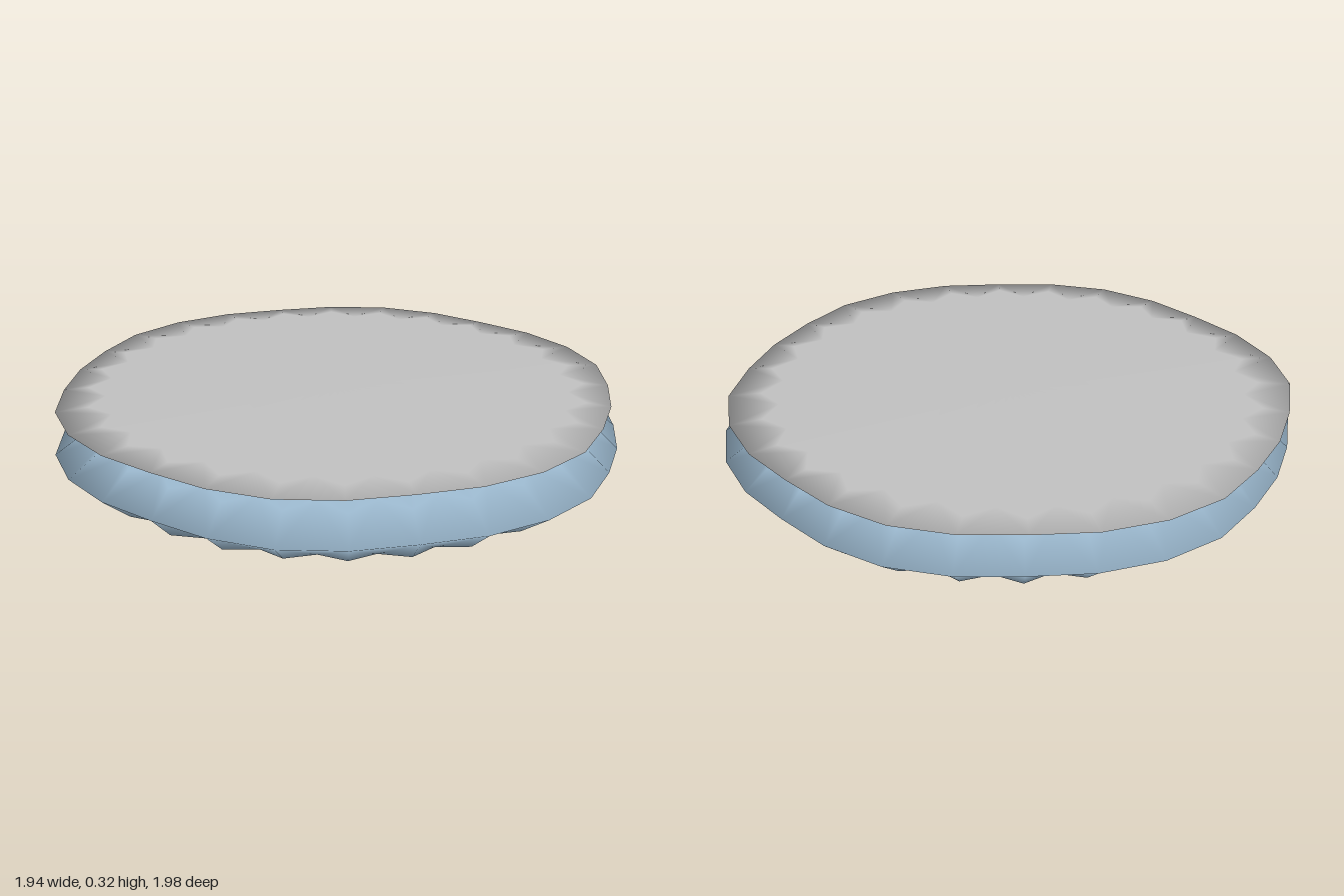
import * as THREE from 'three';

// Rim radii for one quarter turn, mirrored into the other quarters
const QUARTER = [0.99, 0.98, 0.966, 0.985, 1.0, 1.0, 0.975, 0.97];
const SEG = 28;

function rimRadius(i) {
  const k = i % 14;
  return QUARTER[k <= 7 ? k : 14 - k];
}

// Crimped disc: apex, zigzag shoulder and shared rim, above and below y = 0.
// A scale of 1 gives a half height of 0.155.
function crimpedDisc() {
  const pos = [], index = [], ring = SEG * 2;
  const put = (r, a, y) => pos.push(r * Math.sin(a), y, r * Math.cos(a));

  // rim
  for (let i = 0; i < SEG; i++) put(rimRadius(i), i / SEG * Math.PI * 2, 0);

  for (const side of [1, -1]) {
    const apex = pos.length / 3;
    put(0, 0, 0.155 * side);
    // shoulder points alternate between out (on a rim point) and in
    for (let k = 0; k < ring; k++) {
      const out = k % 2 === 0;
      put(out ? 0.885 : 0.82, k / ring * Math.PI * 2, (out ? 0.08 : 0.092) * side);
    }
    const s = k => apex + 1 + k % ring;
    const tri = (a, b, c) => side > 0 ? index.push(a, b, c) : index.push(a, c, b);
    for (let k = 0; k < ring; k++) tri(apex, s(k), s(k + 1));
    for (let i = 0; i < SEG; i++) {
      const j = (i + 1) % SEG, k = 2 * i;
      tri(s(k), i, s(k + 1));
      tri(s(k + 1), i, j);
      tri(s(k + 1), j, s(k + 2));
    }
  }
  const g = new THREE.BufferGeometry();
  g.setAttribute('position', new THREE.Float32BufferAttribute(pos, 3));
  g.setIndex(index);
  return g;
}

export function createModel() {
  const blue = new THREE.MeshStandardMaterial({ color: 0x9bb8ce });
  blue.name = 'pale blue';
  const grey = new THREE.MeshStandardMaterial({ color: 0xc0c0c0 });
  grey.name = 'light grey';
  const group = new THREE.Group();

  const add = (name, material, scale, position) => {
    // the scale is baked in so that normals follow the flattened shape
    const g = crimpedDisc().scale(...scale).translate(...position);
    g.computeVertexNormals();
    const mesh = new THREE.Mesh(g, material);
    mesh.name = name;
    group.add(mesh);
  };

  add('cushionBody', blue, [1, 1, 1], [0, 0.155, 0]);
  // thin cover, set slightly off centre
  add('topCover', grey, [0.985, 0.1, 0.975], [-0.015, 0.3, -0.015]);
  return group;
}
